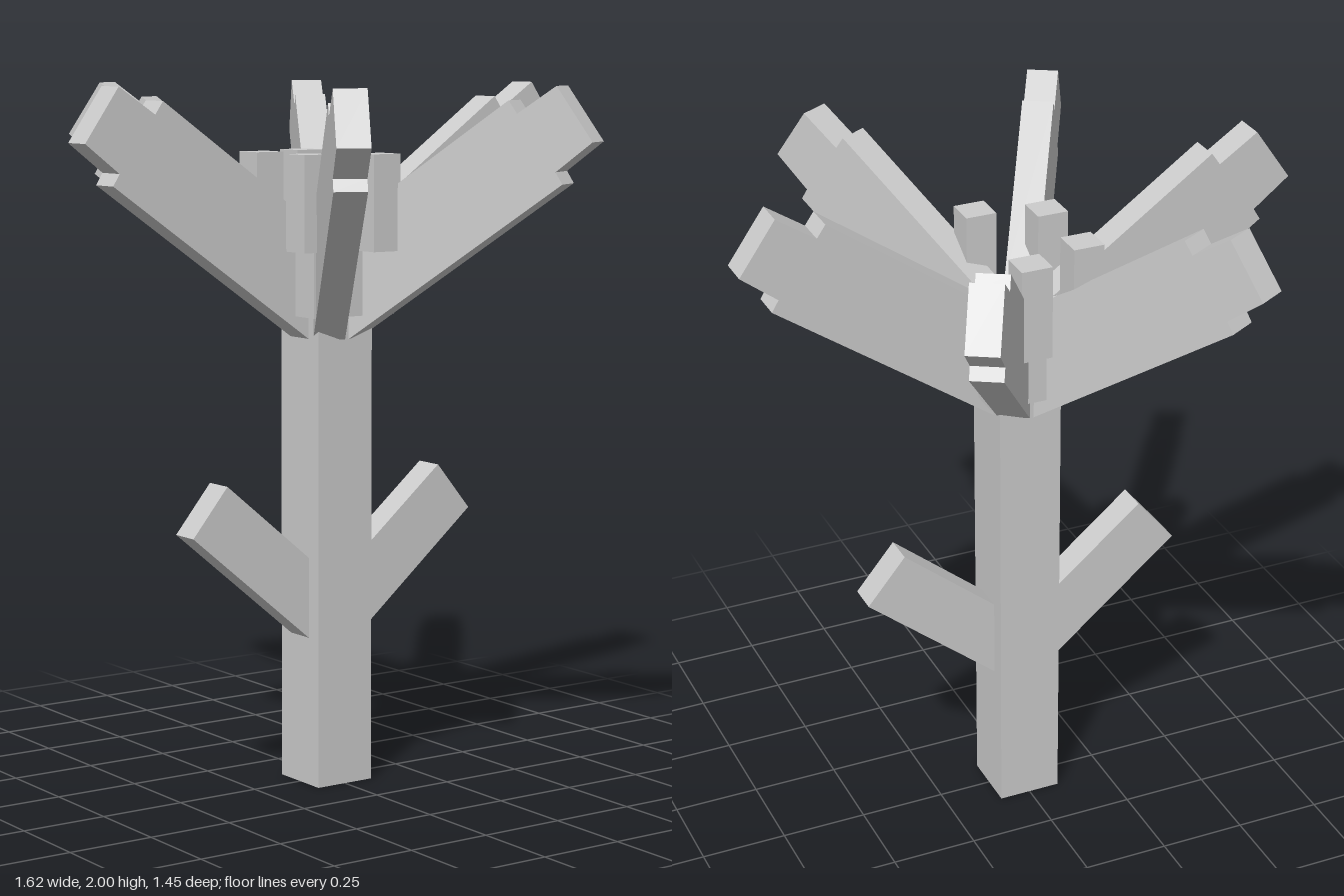
import * as THREE from 'three';

const WIDTH = 0.09;

export function createModel() {
  const group = new THREE.Group();
  const grey = new THREE.MeshStandardMaterial({ color: 0xcccccc });
  grey.name = 'light grey';

  const add = (name, geometry) => {
    const mesh = new THREE.Mesh(geometry, grey);
    mesh.name = name;
    group.add(mesh);
    return mesh;
  };

  // Box standing between two heights
  const post = (name, size, bottom, top, x = 0, z = 0) =>
    add(name, new THREE.BoxGeometry(size, top - bottom, size)).position.set(x, (bottom + top) / 2, z);

  // Flat slab from an (outward, up) outline, turned about the stem
  const slab = (name, outline, angle) => {
    const shape = new THREE.Shape(outline.map(([r, y]) => new THREE.Vector2(r, y)));
    const geometry = new THREE.ExtrudeGeometry(shape, { depth: WIDTH, bevelEnabled: false });
    geometry.translate(0, 0, -WIDTH / 2);
    add(name, geometry).rotation.y = angle;
  };

  // Stem and flower heart
  post('stem', 0.185, 0, 1.36);
  post('flowerHeart', 0.275, 1.355, 1.62);

  // Pair of leaves
  const leaf = [[0.08, 0.42], [0.48, 0.755], [0.367, 0.892], [0.08, 0.652]];
  slab('leftLeaf', leaf, 0);
  slab('rightLeaf', leaf, Math.PI);

  // Six petals with stepped tips
  const petal = [
    [0.09, 1.287], [0.725, 1.735], [0.705, 1.768], [0.81, 1.85],
    [0.705, 2], [0.592, 1.924], [0.567, 1.96], [0.09, 1.622],
  ];
  for (let i = 0; i < 6; i++) slab(`petal${i + 1}`, petal, (i * Math.PI) / 3);

  // Stamens
  [[-0.14, -0.12], [-0.14, 0.115], [0.045, 0.185], [0.045, -0.19]].forEach(([x, z], i) =>
    post(`stamen${i + 1}`, WIDTH, 1.54, 1.81, x, z));

  return group;
}
